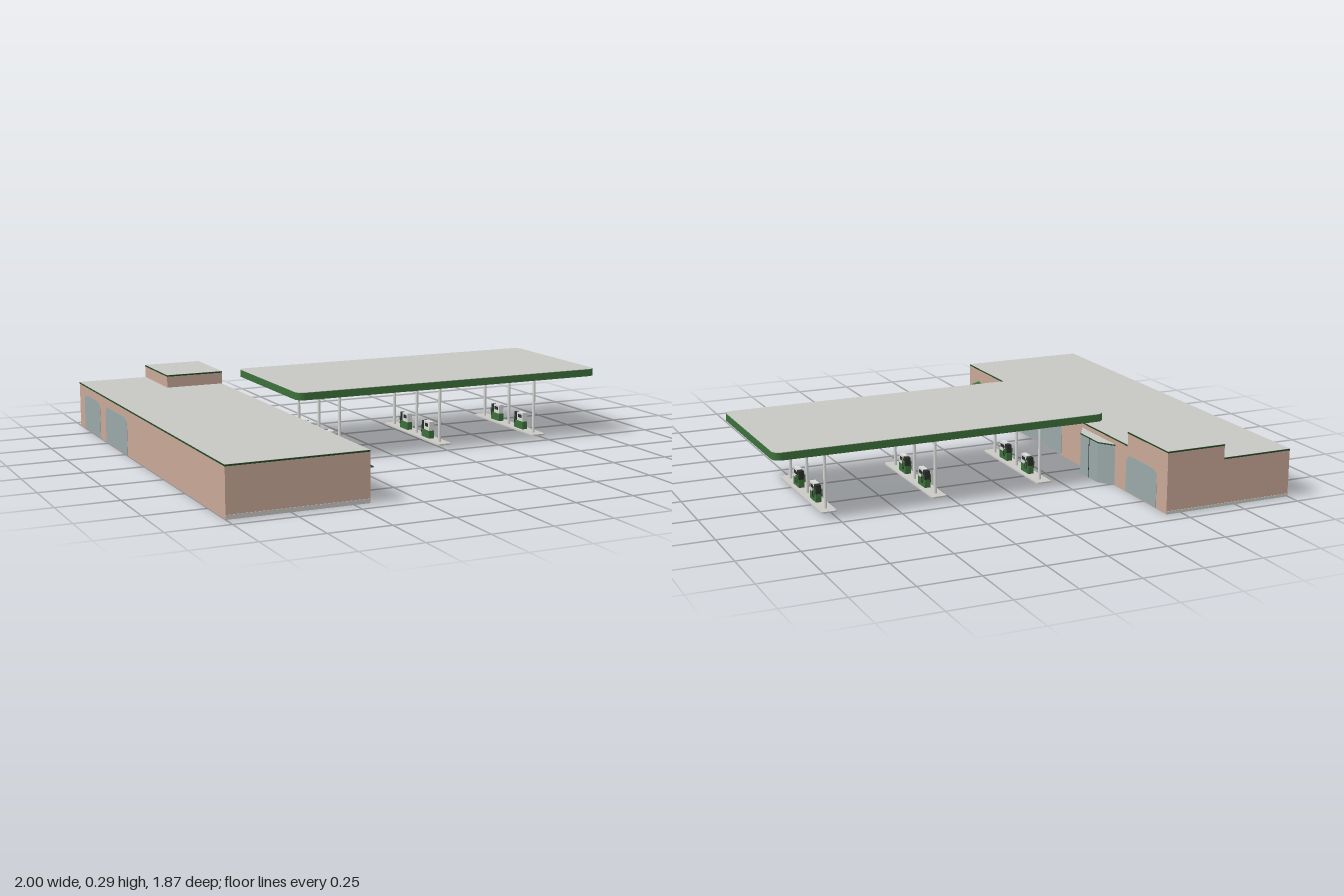
import * as THREE from 'three';

const mat = (name, color, side = THREE.FrontSide) => {
  const m = new THREE.MeshStandardMaterial({ color, side });
  m.name = name;
  return m;
};

export function createModel() {
  const brick = mat('brick', 0xc8a898);
  const roofGrey = mat('roof grey', 0xc6c6c3);
  const green = mat('green', 0x3c703a);
  const darkGreen = mat('dark green trim', 0x234a26);
  const glass = mat('glass', 0x9aa8a8);
  const pale = mat('pale concrete', 0xc9c8c4);
  const white = mat('pump white', 0xd8dad6);
  const dark = mat('dark rubber', 0x2b2e2c);

  const root = new THREE.Group();
  root.name = 'fillingStation';

  const add = (parent, name, geometry, material) => {
    const mesh = new THREE.Mesh(geometry, material);
    mesh.name = name;
    parent.add(mesh);
    return mesh;
  };
  // Box given by its minimum and maximum on each axis
  const box = (parent, name, material, x0, x1, y0, y1, z0, z1) => {
    const g = new THREE.BoxGeometry(x1 - x0, y1 - y0, z1 - z0);
    g.translate((x0 + x1) / 2, (y0 + y1) / 2, (z0 + z1) / 2);
    return add(parent, name, g, material);
  };
  // Flat plan outline (x, z) raised from y0 to y1
  const slab = (parent, name, material, shape, y0, y1) => {
    const g = new THREE.ExtrudeGeometry(shape, { depth: y1 - y0, bevelEnabled: false, curveSegments: 8 });
    g.rotateX(-Math.PI / 2).translate(0, y0, 0);
    return add(parent, name, g, material);
  };
  const planShape = points => new THREE.Shape(points.map(([x, z]) => new THREE.Vector2(x, -z)));
  const rect = (x0, x1, z0, z1) => [[x0, z0], [x0, z1], [x1, z1], [x1, z0]];
  const roundedPlan = (x0, x1, z0, z1, r) => {
    const s = new THREE.Shape();
    const h = Math.PI / 2;
    s.absarc(x1 - r, -z0 - r, r, 0, h);
    s.absarc(x0 + r, -z0 - r, r, h, 2 * h);
    s.absarc(x0 + r, -z1 + r, r, 2 * h, 3 * h);
    s.absarc(x1 - r, -z1 + r, r, 3 * h, 4 * h);
    return s;
  };

  // ---- Shop building ----
  const shop = new THREE.Group();
  shop.name = 'shop';
  root.add(shop);
  const X0 = -1, X1 = -0.435, Z = 0.93, T = 0.004, H = 0.2;
  box(shop, 'forecourtWall', brick, X1 - T, X1, 0, H - 0.006, -Z, Z);
  box(shop, 'rearWall', brick, X0, X0 + T, 0, H - 0.006, -Z, Z);
  box(shop, 'frontWall', brick, X0, X1, 0, H - 0.006, Z - T, Z);
  box(shop, 'backWall', brick, X0, X1, 0, H - 0.006, -Z, -Z + T);

  // Floor with open bays behind the glazing
  const floorShape = planShape(rect(X0 + T, X1 - T, -Z + T, Z - T));
  for (const [x0, x1, z0, z1] of [
    [-0.7, -0.445, -0.04, 0.6], [-0.56, -0.445, 0.72, 0.84],
    [-0.99, -0.725, -0.51, -0.2], [-0.99, -0.445, -0.85, -0.61],
  ]) floorShape.holes.push(new THREE.Path(rect(x0, x1, z0, z1).map(([x, z]) => new THREE.Vector2(x, -z))));
  slab(shop, 'floor', roofGrey, floorShape, 0, 0.004);

  // Main roof and its trim
  box(shop, 'ceiling', roofGrey, X0 + T, X1 - T, H - 0.01, H - 0.006, -Z + T, Z - T);
  box(shop, 'roofTrim', darkGreen, X0 - 0.001, X1 + 0.001, H - 0.007, H - 0.001, -Z - 0.001, Z + 0.001);
  box(shop, 'roof', roofGrey, X0, X1, H - 0.001, H, -Z, Z);

  // Raised corner block
  box(shop, 'tower', brick, -0.69, X1 + 0.002, H - 0.01, 0.25, -Z - 0.002, -0.62);
  box(shop, 'towerTrim', darkGreen, -0.691, X1 + 0.003, 0.249, 0.255, -Z - 0.003, -0.619);
  box(shop, 'towerRoof', roofGrey, -0.69, X1 + 0.002, 0.255, 0.256, -Z - 0.002, -0.62);

  // Glazing panes with rounded upper corners, seen from inside and out
  const pane = (name, x, z0, z1, h, r) => {
    const w = (z1 - z0) / 2;
    const s = new THREE.Shape();
    s.moveTo(-w, 0.003);
    s.lineTo(w, 0.003);
    s.lineTo(w, h - r);
    s.quadraticCurveTo(w, h, w - r, h);
    s.lineTo(-w + r, h);
    s.quadraticCurveTo(-w, h, -w, h - r);
    const g = new THREE.ExtrudeGeometry(s, { depth: 0.007, bevelEnabled: false, curveSegments: 6 });
    g.translate(0, 0, -0.0035).rotateY(Math.PI / 2).translate(x, 0, (z0 + z1) / 2);
    add(shop, name, g, glass);
  };
  const wallX = X1 - T / 2, rearX = X0 + T / 2;
  pane('shopWindow', wallX, -0.04, 0.61, 0.158, 0.04);
  pane('sideDoor', wallX, 0.73, 0.83, 0.115, 0.005);
  pane('towerWindow', wallX, -0.85, -0.61, 0.158, 0.04);
  pane('rearWindow', rearX, -0.85, -0.61, 0.158, 0.04);
  pane('rearWindow', rearX, -0.525, -0.22, 0.158, 0.04);

  // Pale plinth on the end walls
  box(shop, 'frontPlinth', pale, X0, X1, 0, 0.017, Z, Z + 0.002);
  box(shop, 'backPlinth', pale, X0, X1, 0, 0.012, -Z - 0.002, -Z);

  // Glazed entrance bay with slanted cheeks
  const bay = d => planShape([[X1, -0.23 + d], [-0.39 + d, -0.3 + d], [-0.39 + d, -0.45 - d], [X1, -0.515 - d]]);
  slab(shop, 'entranceBay', glass, bay(0), 0, 0.168);
  slab(shop, 'entranceTrim', darkGreen, bay(0.001), 0.168, 0.173);
  slab(shop, 'entranceRoof', roofGrey, bay(0), 0.173, 0.174);
  box(shop, 'entranceMullion', dark, -0.39, -0.3885, 0, 0.168, -0.376, -0.374);

  // Sloping awning above the side door
  const awning = new THREE.Shape([[X1, 0.112], [-0.378, 0.108], [-0.375, 0.113], [-0.395, 0.123], [X1, 0.136]]
    .map(p => new THREE.Vector2(...p)));
  const awningGeo = new THREE.ExtrudeGeometry(awning, { depth: 0.12, bevelEnabled: false });
  awningGeo.translate(0, 0, 0.715);
  add(shop, 'awning', awningGeo, green);

  // ---- Canopy ----
  const canopy = new THREE.Group();
  canopy.name = 'canopy';
  root.add(canopy);
  slab(canopy, 'fascia', green, roundedPlan(-0.42, 1, -0.45, 0.22, 0.035), 0.26, 0.29);
  slab(canopy, 'canopyRoof', roofGrey, roundedPlan(-0.418, 0.998, -0.448, 0.218, 0.033), 0.29, 0.2915);
  slab(canopy, 'soffit', roofGrey, roundedPlan(-0.41, 0.99, -0.44, 0.21, 0.027), 0.2575, 0.26);

  // ---- Pump islands ----
  const makePump = () => {
    const pump = new THREE.Group();
    pump.name = 'pump';
    box(pump, 'pumpBase', green, -0.012, 0.012, 0, 0.034, -0.02, 0.035);
    box(pump, 'pumpCabinet', white, -0.011, 0.011, 0.034, 0.073, -0.014, 0.034);
    box(pump, 'pumpHead', dark, -0.011, 0.011, 0.034, 0.07, -0.036, -0.014);
    box(pump, 'hoseCabinet', green, -0.012, 0.012, 0, 0.034, -0.037, -0.02);
    for (const s of [-1, 1]) {
      box(pump, 'display', dark, s * 0.0115 - 0.001, s * 0.0115 + 0.001, 0.05, 0.064, -0.004, 0.024);
      box(pump, 'nozzle', green, s * 0.015 - 0.004, s * 0.015 + 0.004, 0.036, 0.052, -0.03, -0.024);
      const hose = new THREE.CatmullRomCurve3([
        [0.011, 0.066, -0.018], [0.017, 0.05, -0.017], [0.02, 0.026, -0.021], [0.018, 0.02, -0.026], [0.016, 0.037, -0.028],
      ].map(([x, y, z]) => new THREE.Vector3(s * x, y, z)));
      add(pump, 'hose', new THREE.TubeGeometry(hose, 12, 0.0015, 5), dark);
    }
    return pump;
  };

  for (const x of [-0.183, 0.288, 0.757]) {
    const island = new THREE.Group();
    island.name = 'pumpIsland';
    island.position.x = x;
    root.add(island);
    slab(island, 'kerb', pale, roundedPlan(-0.033, 0.033, -0.375, 0.155, 0.012), 0, 0.006);
    for (const z of [0.105, -0.11, -0.33]) {
      const column = add(island, 'column', new THREE.CylinderGeometry(0.0065, 0.0065, 0.254, 12), white);
      column.position.set(0, 0.132, z);
    }
    for (const z of [-0.003, -0.213]) {
      const pump = makePump();
      pump.position.set(0, 0.006, z);
      island.add(pump);
    }
  }
  return root;
}
